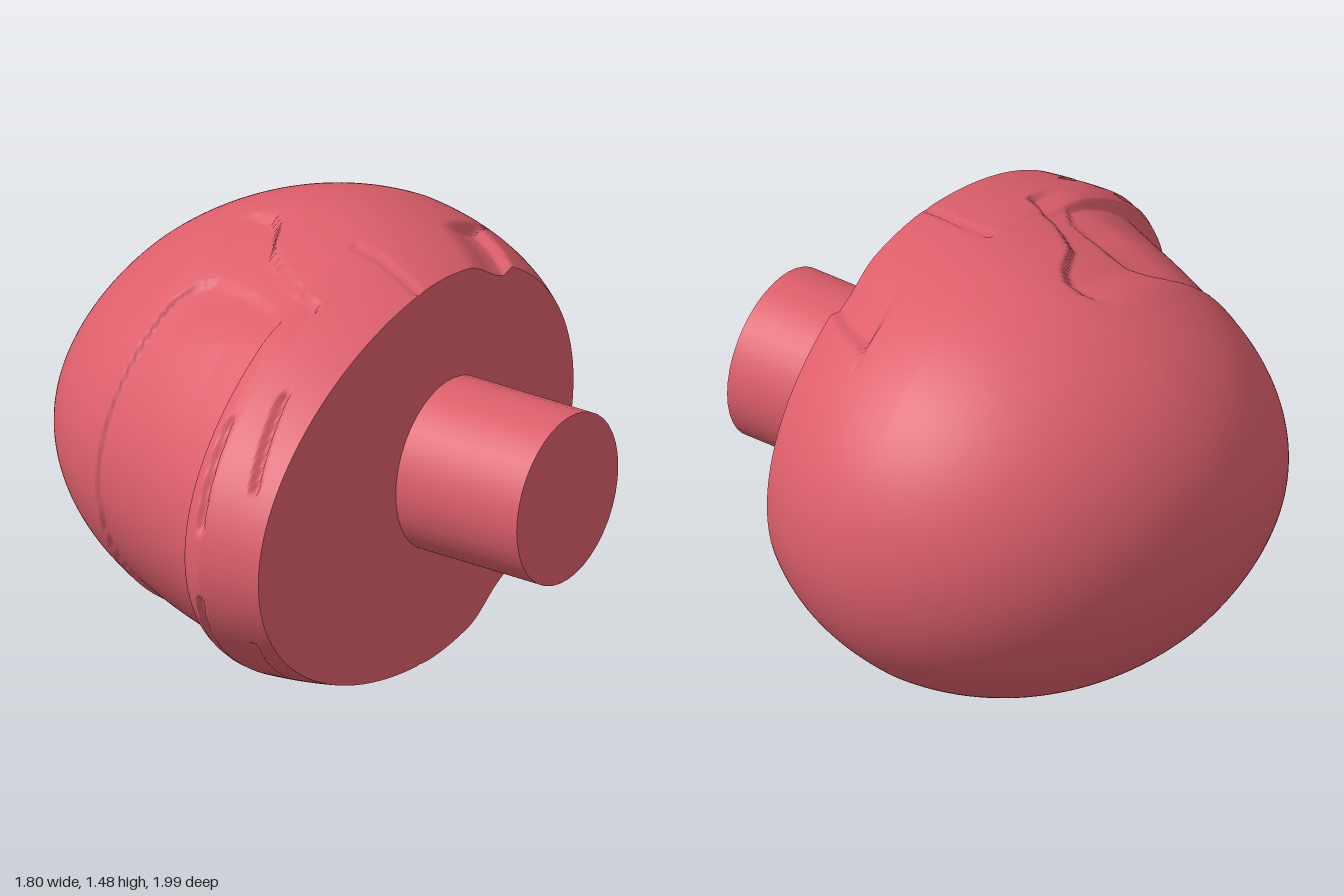
import * as THREE from 'three';

const MID = 0.743, END = 0.43;
const smooth = THREE.MathUtils.smoothstep, lerp = THREE.MathUtils.lerp;

// Linear lookup through a few [x, value] points
function along(points, x) {
  if (x <= points[0][0]) return points[0][1];
  for (let i = 1; i < points.length; i++) {
    const [x0, v0] = points[i - 1], [x1, v1] = points[i];
    if (x <= x1) return lerp(v0, v1, (x - x0) / (x1 - x0));
  }
  return points[points.length - 1][1];
}

// Narrow groove around a line segment, 0..1
function groove(px, py, [ax, ay, bx, by], width) {
  const dx = bx - ax, dy = by - ay;
  const k = THREE.MathUtils.clamp(((px - ax) * dx + (py - ay) * dy) / (dx * dx + dy * dy), 0, 1);
  return 1 - smooth(Math.hypot(px - ax - k * dx, py - ay - k * dy), width * 0.3, width);
}

const ellipse = (x, a) => Math.sqrt(Math.max(0, 1 - ((x + 0.03) / a) ** 2));
const FACE = [[-0.43, 0.65], [0.105, 0.89], [0.115, 0.94], [0.16, 0.975], [0.2, 0.99], [0.43, 0.98]];
const VISOR_EDGE = [[-0.44, 0.72], [-0.38, 0.5], [-0.34, 0.33], [-0.3, 0.27], [-0.24, 0.24], [-0.12, 0.27], [0.05, 0.33], [0.1, 0.38]];
const CHEEK_EDGE = [[-0.35, -0.07], [-0.28, -0.09], [-0.22, -0.08], [-0.17, -0.03], [-0.1, 0.11], [0, 0.19], [0.2, 0.3], [0.23, 0.36]];
const EAR_EDGE = [[0.19, -0.8], [0.2, -0.65], [0.23, -0.6], [0.34, -0.54], [0.43, -0.47]];

// Depth of the panels and slots below the plain shell
function relief(x, y, z) {
  const h = Math.abs(y);
  let d = 0;
  // visor
  const v = z - along(VISOR_EDGE, x);
  d += 0.014 * smooth(v, 0, 0.02) * smooth(x, -0.44, -0.42) * (1 - smooth(x, 0.1, 0.115));
  // cheek panel between visor and shell
  const c = z - along(CHEEK_EDGE, x);
  d += 0.028 * smooth(c, 0, 0.025) * smooth(x, -0.4, -0.22) * (1 - smooth(x, 0.19, 0.22))
    * (1 - smooth(z, 0.28, 0.5));
  // ear hollow
  const e = z - along(EAR_EDGE, x);
  d += 0.035 * smooth(e, 0, 0.03) * smooth(x, 0.19, 0.23) * (1 - smooth(e, 0.06, 0.25));
  // chin and side slots
  if (z > 0.3) {
    d += 0.02 * groove(x, h, [0.165, 0.42, 0.195, 0.13], 0.018);
    d += 0.02 * groove(x, h, [0.3, 0.5, 0.35, 0.28], 0.018);
  }
  if (h > 0.3) d += 0.012 * groove(x, z, [0.13, -0.02, 0.42, 0.05], 0.016);
  return d;
}

// Point of the head at height station x and angle t around it
function headPoint(x, t) {
  const left = x < -0.03;
  const s = ellipse(x, 0.87);
  const half = 0.742 * (left ? s : ellipse(x, 1.055));
  const back = -(left ? s : ellipse(x, 0.804));
  const front = x < -0.43 ? 0.73 * s : along(FACE, x);
  const mid = left ? -0.15 * s : -0.15 * (END - x) / 0.46;
  const c = Math.cos(t);
  let y = half * Math.sin(t) * (1 - 0.06 * Math.max(0, c));
  let z = mid + c * (c > 0 ? front - mid : mid - back);
  const k = 1 - relief(x, y, z) / Math.max(0.2, Math.hypot(y, z));
  return [x, MID + y * k, z * k];
}

function headGeometry(rings, sides) {
  const pos = [], index = [];
  for (let i = 0; i < rings.length; i++)
    for (let j = 0; j < sides; j++) pos.push(...headPoint(rings[i], j / sides * Math.PI * 2));
  for (let i = 0; i < rings.length - 1; i++)
    for (let j = 0; j < sides; j++) {
      const n = (j + 1) % sides;
      const a = i * sides + j, b = i * sides + n, c = a + sides, d = b + sides;
      if (i > 0) index.push(a, d, b);
      index.push(a, c, d);
    }
  const g = new THREE.BufferGeometry();
  g.setAttribute('position', new THREE.Float32BufferAttribute(pos, 3));
  g.setIndex(index);
  g.computeVertexNormals();
  return g;
}

export function createModel() {
  const model = new THREE.Group();
  const material = new THREE.MeshStandardMaterial({ color: 0xdd5f6b });
  const sides = 320;
  function add(name, geometry) {
    const mesh = new THREE.Mesh(geometry, material);
    mesh.name = name;
    model.add(mesh);
    return mesh;
  }

  // Head shell lying on its side, crown toward -x
  const rings = [];
  for (let i = 0; i < 40; i++) rings.push(-0.45 - 0.45 * Math.cos(i / 40 * Math.PI / 2));
  for (let i = 0; i <= 110; i++) rings.push(lerp(-0.45, END, i / 110));
  add('head', headGeometry(rings, sides));

  // Flat cut under the head
  const rim = [MID, 0], faces = [];
  const pos = [END, ...rim];
  for (let j = 0; j < sides; j++) {
    pos.push(...headPoint(END, j / sides * Math.PI * 2));
    faces.push(0, (j + 1) % sides + 1, j + 1);
  }
  const cap = new THREE.BufferGeometry();
  cap.setAttribute('position', new THREE.Float32BufferAttribute(pos, 3));
  cap.setIndex(faces);
  cap.computeVertexNormals();
  add('headBase', cap);

  // Neck peg
  const neck = add('neck', new THREE.CylinderGeometry(0.29, 0.29, 0.5, 40));
  neck.rotation.z = -Math.PI / 2;
  neck.position.set(0.65, MID, -0.095);

  return model;
}
